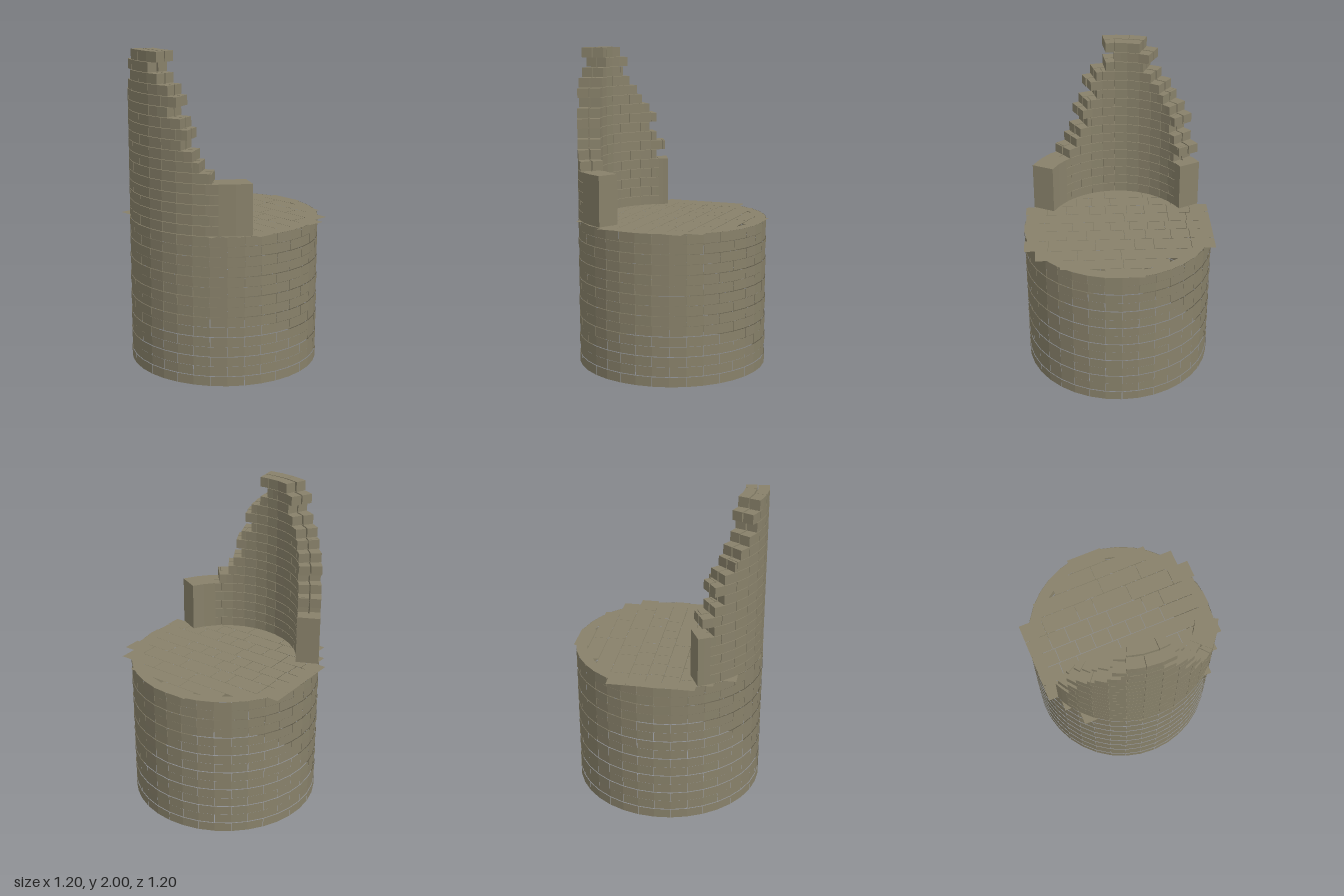
import * as THREE from 'three';
import { mergeGeometries } from 'three/addons/utils/BufferGeometryUtils.js';

const RAD = Math.PI / 180;
const COURSE = 0.0625;      // height of one brick course
const BASE_COURSES = 15;
const BRICK = 20;           // degrees covered by one brick
const FLOOR = BASE_COURSES * COURSE;
const JOINT = 0.003;

// Bends a unit geometry round the tower: x -> angle (0 = front), y -> height, z -> radius
function bend(geo, a0, a1, y0, y1, r0, r1) {
  const p = geo.attributes.position;
  for (let i = 0; i < p.count; i++) {
    const a = (a0 + (p.getX(i) + 0.5) * (a1 - a0)) * RAD;
    const r = r0 + (p.getZ(i) + 0.5) * (r1 - r0);
    p.setXYZ(i, r * Math.sin(a), y0 + (p.getY(i) + 0.5) * (y1 - y0), r * Math.cos(a));
  }
  geo.computeVertexNormals();
  return geo;
}

const block = (a0, a1, y0, y1, r0, r1) =>
  bend(new THREE.BoxGeometry(1, 1, 1, 2, 1, 1), a0, a1, y0, y1, r0, r1);

const face = (a0, a1, y0, y1, r) =>
  bend(new THREE.PlaneGeometry(1, 1, 2, 1), a0, a1, y0, y1, r, r);

// Calls make(a0, a1) for every staggered brick between two angles
function layCourse(row, from, to, make) {
  const shift = row % 2 ? BRICK / 2 : 0;
  for (let a = -180 + shift; a < 180 + shift; a += BRICK) {
    const a0 = Math.max(a + 0.17, from), a1 = Math.min(a + BRICK - 0.17, to);
    if (a1 - a0 > 1) make(a0, a1);
  }
}

export function createModel() {
  const tower = new THREE.Group();
  tower.name = 'ruinedTower';
  const stone = new THREE.MeshStandardMaterial({ color: 0x88816a });
  stone.name = 'weathered stone';
  stone.flatShading = true;
  stone.side = THREE.DoubleSide;
  const add = (name, geos) => {
    const mesh = new THREE.Mesh(mergeGeometries(geos), stone);
    mesh.name = name;
    tower.add(mesh);
  };

  // Hollow round base, open underneath
  const base = [];
  for (let row = 0; row < BASE_COURSES; row++) {
    layCourse(row, -180, 200, (a0, a1) =>
      base.push(face(a0, a1, row * COURSE, (row + 1) * COURSE - JOINT, row % 2 ? 0.597 : 0.6)));
  }
  add('baseWall', base);

  // Rim on top of the base wall
  add('baseRim', [new THREE.RingGeometry(0.53, 0.598, 36).rotateX(-Math.PI / 2).translate(0, FLOOR - 0.003, 0)]);

  // Floor slabs: z start, z end, then the x positions of the joints
  const rows = [
    [-0.6, -0.5, [-0.14, 0.1]],
    [-0.5, -0.4, [-0.3, -0.015, 0.37]],
    [-0.4, -0.29, [-0.46, -0.005, 0.265, 0.525]],
    [-0.29, -0.17, [-0.6, -0.45, -0.215, -0.095, 0.15, 0.445, 0.595]],
    [-0.17, -0.06, [-0.6, -0.45, -0.33, -0.17, -0.035, 0.205, 0.33, 0.58]],
    [-0.06, 0.04, [-0.6, -0.44, -0.3, -0.19, -0.075, 0.05, 0.155, 0.29, 0.6]],
    [0.04, 0.145, [-0.6, -0.45, -0.33, -0.045, 0.59]],
    [0.145, 0.25, [-0.6, -0.48, -0.33, -0.18, -0.065, 0.075, 0.18, 0.33, 0.455, 0.595]],
    [0.25, 0.35, [-0.53, -0.36, -0.215, 0.04, 0.165, 0.265, 0.52]],
    [0.35, 0.48, [-0.45, -0.18, 0.075, 0.42]],
    [0.48, 0.595, [-0.13, 0.12]],
  ];
  const slabs = [];
  for (const [z0, z1, xs] of rows) {
    for (let i = 0; i + 1 < xs.length; i++) {
      const w = xs[i + 1] - xs[i], d = z1 - z0;
      slabs.push(new THREE.PlaneGeometry(w - JOINT, d - JOINT).rotateX(-Math.PI / 2)
        .translate(xs[i] + w / 2, FLOOR, z0 + d / 2));
    }
  }
  add('floorSlabs', slabs);

  // Broken front wall: right and left x limits of each course above the floor
  const END = 64.5;
  const steps = [
    [-0.49, 0.395], [-0.53, 0.335], [-0.49, 0.3], [-0.45, 0.235], [-0.49, 0.275], [-0.45, 0.235],
    [-0.4, 0.15], [-0.365, 0.21], [-0.305, 0.155], [-0.235, 0.075], [-0.28, 0.005], [-0.21, 0.075],
  ];
  const outer = [], inner = [];
  for (let k = 0; k < 17; k++) {
    const row = BASE_COURSES + k;
    let from = -57, to = 45;
    if (k >= 5) [from, to] = steps[k - 5].map((x) => Math.asin(x / 0.6) / RAD);
    const y0 = row * COURSE, y1 = y0 + COURSE - (k === 16 ? 0 : JOINT);
    layCourse(row, from, to, (a0, a1) => outer.push(block(a0, a1, y0, y1, 0.53, 0.598)));
    layCourse(row + 1, from, to, (a0, a1) => inner.push(block(a0, a1, y0, y1, 0.455, 0.522)));
  }
  add('ruinOuterBricks', outer);
  add('ruinInnerBricks', inner);

  // Solid piers closing both ends of the broken wall
  const top = FLOOR + 5 * COURSE;
  add('rightPier', [block(-END, -57, FLOOR, top, 0.455, 0.598)]);
  add('leftPier', [block(45, END, FLOOR, top, 0.455, 0.598)]);
  return tower;
}
